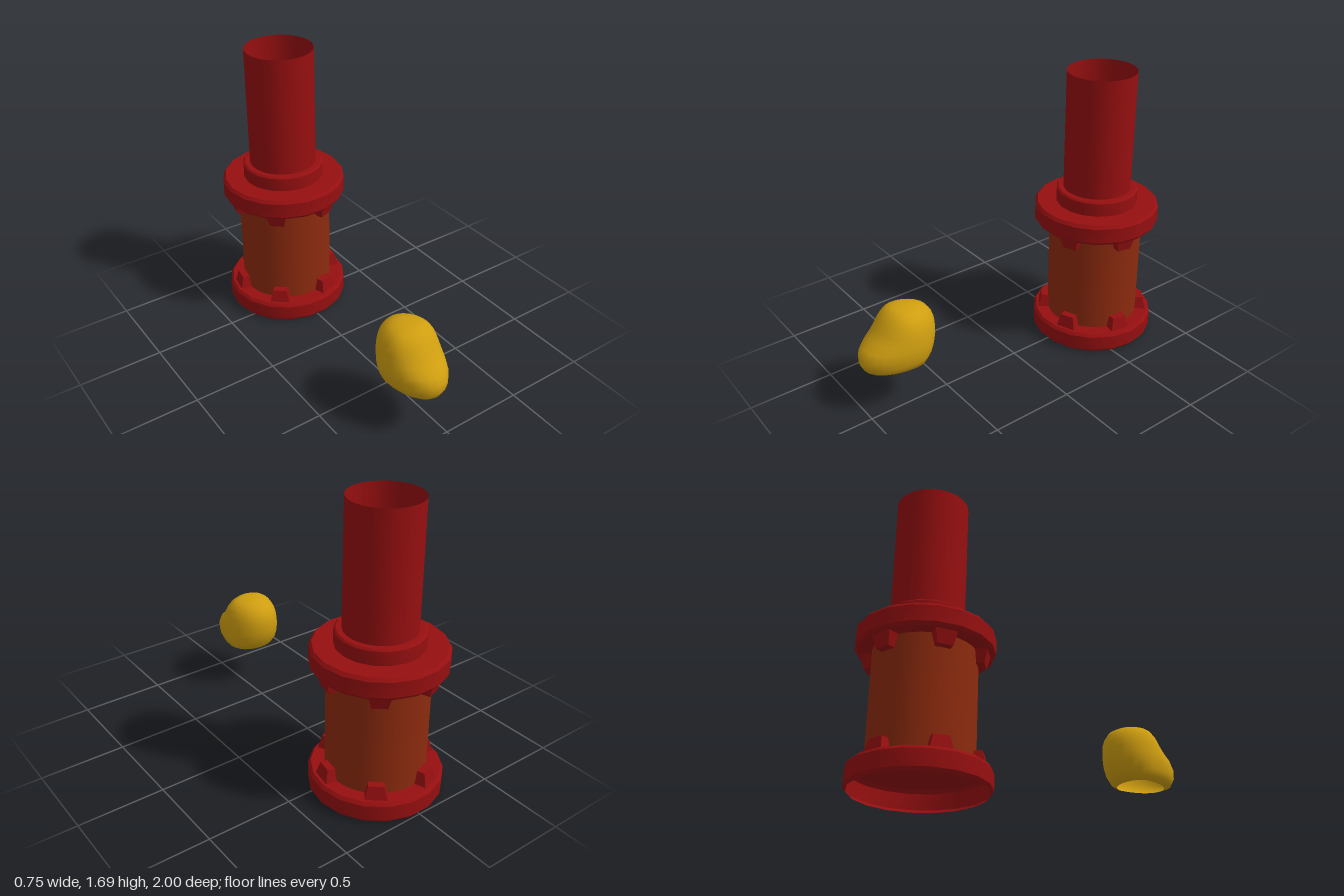
import * as THREE from 'three';
import { toCreasedNormals } from 'three/addons/utils/BufferGeometryUtils.js';

const material = (color) => new THREE.MeshStandardMaterial({ color, side: THREE.DoubleSide });

function part(name, geometry, mat) {
  const mesh = new THREE.Mesh(geometry, mat);
  mesh.name = name;
  return mesh;
}

// 18-sided turned part with sharp rims; a corner lies on the x axis
function turned(points) {
  const profile = points.map(([r, y]) => new THREE.Vector2(r, y));
  return toCreasedNormals(new THREE.LatheGeometry(profile, 18, Math.PI / 18), 0.5);
}

// Tapered clamp tooth, standing on y = 0 and reaching out along +z
function toothGeometry() {
  const geo = new THREE.BoxGeometry(1, 1, 1);
  const p = geo.attributes.position;
  for (let i = 0; i < p.count; i++) {
    const top = p.getY(i) > 0;
    p.setXYZ(i, p.getX(i) * (top ? 0.085 : 0.12), top ? 0.075 : 0,
      p.getZ(i) < 0 ? 0.26 : top ? 0.322 : 0.34);
  }
  geo.computeVertexNormals();
  return geo;
}

// Chamfered shell, open below, with six teeth on its plate
function flange(name, mat) {
  const group = new THREE.Group();
  group.name = name;
  group.add(part('flangeShell',
    turned([[0.36, 0], [0.375, 0.018], [0.375, 0.107], [0.36, 0.125], [0, 0.125]]), mat));
  const geo = toothGeometry();
  for (let i = 0; i < 6; i++) {
    const tooth = part('tooth', geo, mat);
    tooth.position.y = 0.125;
    tooth.rotation.y = Math.PI / 9 + i * Math.PI / 3;
    group.add(tooth);
  }
  return group;
}

// Rounded nugget with a low nose to the front and an open flat base
function nuggetGeometry() {
  const zc = 0.73, xc = -0.073, sides = 24;
  // height, back z, front z, half width
  const rows = [
    [0.26, 0.64, 0.93, 0.12], [0.28, 0.602, 0.98, 0.15], [0.32, 0.572, 1.0, 0.167],
    [0.37, 0.552, 0.998, 0.173], [0.41, 0.543, 0.97, 0.172], [0.45, 0.54, 0.92, 0.167],
    [0.49, 0.541, 0.885, 0.16], [0.53, 0.553, 0.858, 0.147], [0.565, 0.578, 0.828, 0.125],
    [0.587, 0.62, 0.8, 0.095], [0.598, 0.66, 0.775, 0.055], [0.6, zc, zc, 0],
  ];
  const pos = [], index = [];
  for (const [y, back, front, half] of rows) {
    for (let i = 0; i < sides; i++) {
      const a = i / sides * Math.PI * 2, c = Math.cos(a);
      pos.push(xc + half * Math.sin(a), y, zc + c * (c > 0 ? front - zc : zc - back));
    }
  }
  for (let j = 0; j < rows.length - 1; j++) {
    for (let i = 0; i < sides; i++) {
      const a = j * sides + i, b = j * sides + (i + 1) % sides;
      index.push(a, b, b + sides);
      if (j < rows.length - 2) index.push(a, b + sides, a + sides);
    }
  }
  const geo = new THREE.BufferGeometry();
  geo.setAttribute('position', new THREE.Float32BufferAttribute(pos, 3));
  geo.setIndex(index);
  geo.computeVertexNormals();
  // the tip is one shared point, so point its normals straight up
  for (let i = 0; i < sides; i++) {
    geo.attributes.normal.setXYZ((rows.length - 1) * sides + i, 0, 1, 0);
  }
  return geo;
}

export function createModel() {
  const red = material(0x960f10), brown = material(0x8c2a0e), gold = material(0xcf9e10);
  const model = new THREE.Group();

  const canister = new THREE.Group();
  canister.name = 'canister';
  canister.position.z = -0.63;

  // lower flange, and the same one turned over on top
  canister.add(flange('lowerFlange', red));
  const upper = flange('upperFlange', red);
  upper.scale.y = -1;
  upper.position.y = 0.88;
  canister.add(upper);

  // smooth body between the flanges
  const body = part('body', new THREE.CylinderGeometry(0.282, 0.282, 0.635, 36, 1, true), brown);
  body.position.y = 0.4425;
  canister.add(body);

  // stepped collar closing the upper flange
  canister.add(part('collar',
    turned([[0.36, 0.88], [0.245, 0.88], [0.245, 0.96], [0.235, 0.97], [0, 0.97]]), red));

  // open pipe
  const pipe = part('pipe', new THREE.CylinderGeometry(0.202, 0.202, 0.72, 36, 1, true), red);
  pipe.position.y = 1.33;
  canister.add(pipe);

  model.add(canister, part('nugget', nuggetGeometry(), gold));
  return model;
}
